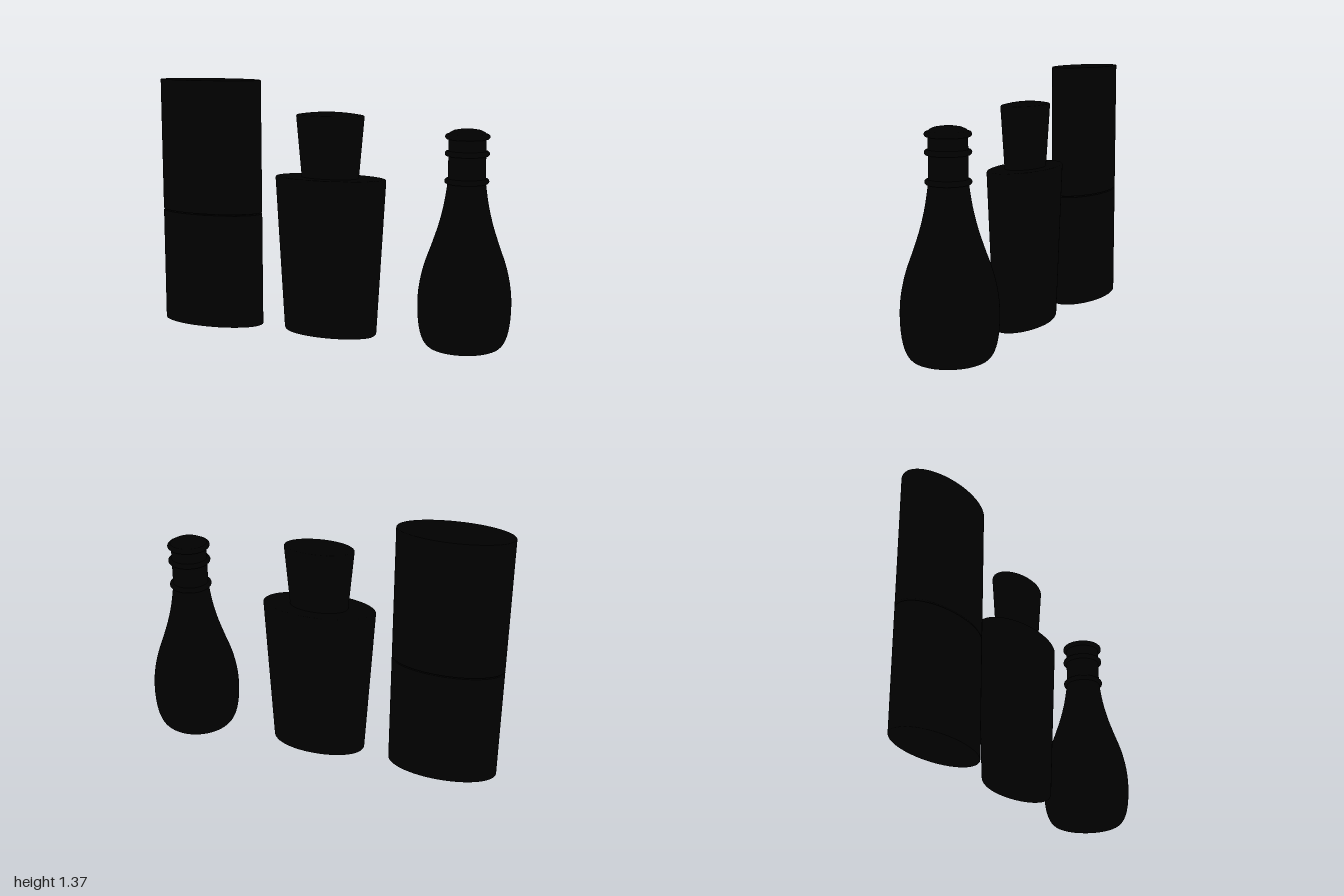
import * as THREE from 'three';
import { toCreasedNormals } from 'three/addons/utils/BufferGeometryUtils.js';

const black = new THREE.MeshStandardMaterial({ color: 0x000000 });
const SEGMENTS = 96;

// Revolve a profile of [radius, y] pairs and flatten it in z to an oval.
function turned(name, profile, depth = 1) {
  const points = profile.map(([r, y]) => new THREE.Vector2(r, y));
  const geometry = new THREE.LatheGeometry(points, SEGMENTS);
  geometry.scale(1, 1, depth);
  const mesh = new THREE.Mesh(toCreasedNormals(geometry, 0.6), black);
  mesh.name = name;
  return mesh;
}

// Closed, straight-sided profile with small rounded rims; dome raises the top centre.
function block(r0, y0, r1, y1, bevel0, bevel1, dome = 0) {
  const profile = [[0, y0]];
  for (let i = 0; i <= 4; i++) {
    const a = (i / 4) * Math.PI / 2;
    profile.push([r0 - bevel0 * (1 - Math.sin(a)), y0 + bevel0 * (1 - Math.cos(a))]);
  }
  for (let i = 0; i <= 4; i++) {
    const a = (i / 4) * Math.PI / 2;
    profile.push([r1 - bevel1 * (1 - Math.cos(a)), y1 - bevel1 * (1 - Math.sin(a))]);
  }
  for (let i = 1; i <= 6; i++) {
    const t = 1 - i / 6;
    profile.push([(r1 - bevel1) * t, y1 + dome * (1 - t * t)]);
  }
  return profile;
}

function createCase() {
  const group = new THREE.Group();
  group.name = 'ovalCase';
  const depth = 0.49;
  group.add(
    turned('caseBase', block(0.3, 0, 0.3, 0.631, 0.004, 0.004), depth),
    turned('caseNeck', block(0.15, 0.6, 0.15, 0.67, 0.002, 0.002), 0.8),
    turned('caseCap', block(0.3, 0.637, 0.3, 1.366, 0.004, 0.004), depth)
  );
  group.position.x = -0.7;
  return group;
}

function createFlask() {
  const group = new THREE.Group();
  group.name = 'taperedFlask';
  group.add(
    turned('flaskBody', block(0.264, 0, 0.312, 0.857, 0.022, 0.01), 0.49),
    turned('stopper', block(0.16, 0.85, 0.19, 1.192, 0.002, 0.01, 0.015), 0.56)
  );
  group.position.x = 0.01;
  return group;
}

function createBottle() {
  const group = new THREE.Group();
  group.name = 'roundBottle';

  // Smooth belly and shoulder running into the neck
  const curve = new THREE.SplineCurve([
    [0.155, 0], [0.19, 0.012], [0.217, 0.05], [0.235, 0.12], [0.242, 0.22], [0.236, 0.32],
    [0.213, 0.43], [0.175, 0.54], [0.142, 0.64], [0.117, 0.74], [0.102, 0.83], [0.096, 0.88]
  ].map(([r, y]) => new THREE.Vector2(r, y)));
  const body = curve.getPoints(48).map((p) => [p.x, p.y]);
  group.add(turned('bottleBody', [[0, 0], ...body, [0.095, 1.1], [0, 1.1]]));

  // Domed top of the cap
  group.add(turned('bottleCap', [
    [0.1, 1.095], [0.1, 1.115], [0.088, 1.125], [0.068, 1.135], [0.04, 1.14], [0, 1.141]
  ]));

  // Rings around the neck
  for (const y of [0.876, 1.017, 1.103]) {
    const ring = new THREE.Mesh(new THREE.TorusGeometry(0.1, 0.014, 12, SEGMENTS), black);
    ring.rotation.x = Math.PI / 2;
    ring.position.y = y;
    ring.name = 'neckRing';
    group.add(ring);
  }
  group.position.x = 0.757;
  return group;
}

export function createModel() {
  const model = new THREE.Group();
  model.name = 'bottleSet';
  model.add(createCase(), createFlask(), createBottle());
  return model;
}
